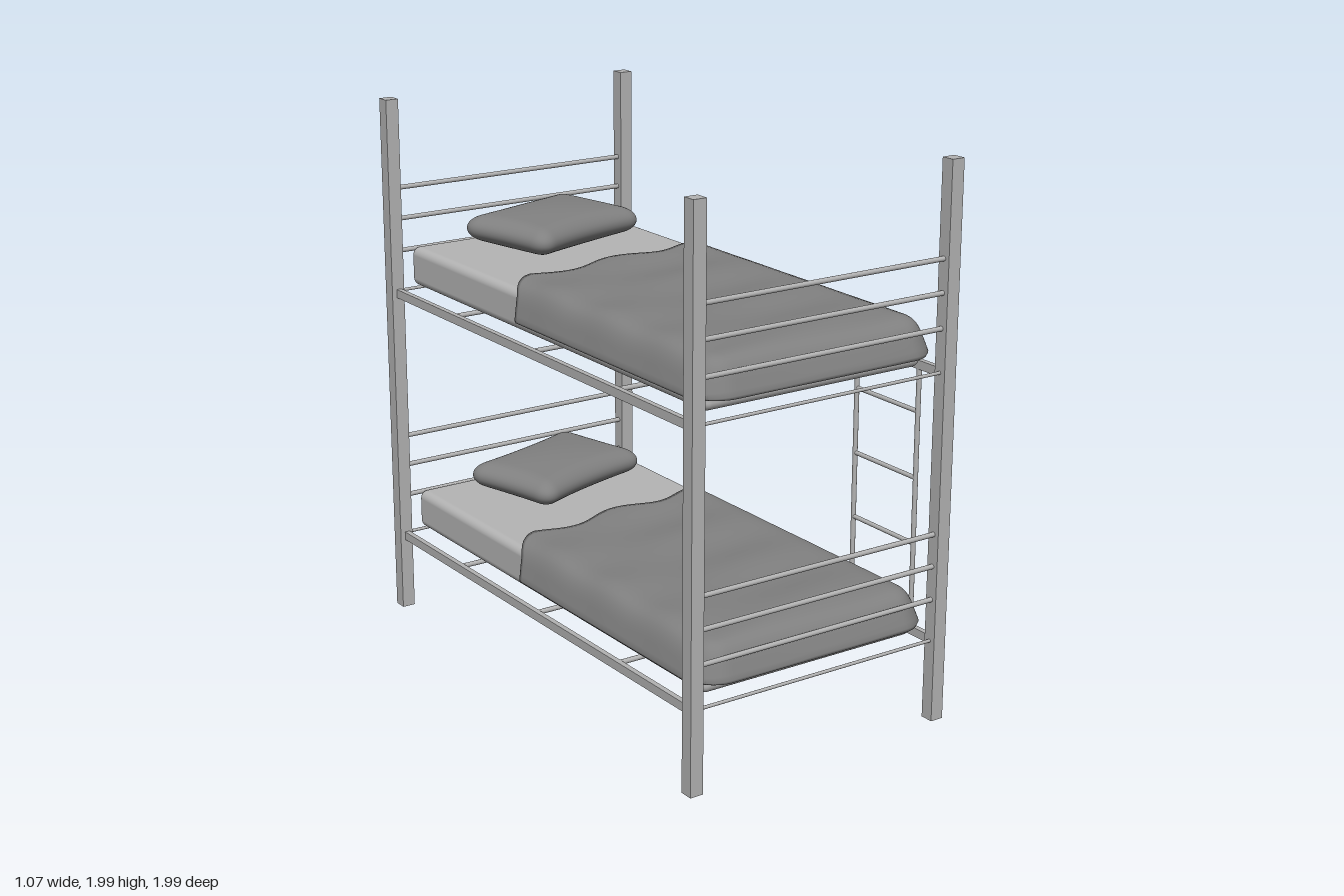
import * as THREE from 'three';
import { mergeVertices } from 'three/addons/utils/BufferGeometryUtils.js';
import { RoundedBoxGeometry } from 'three/addons/geometries/RoundedBoxGeometry.js';

const frame = new THREE.MeshStandardMaterial({ color: 0xb2b2b2 });
const ticking = new THREE.MeshStandardMaterial({ color: 0xb5b5b5 });
const cloth = new THREE.MeshStandardMaterial({ color: 0x808080, side: THREE.DoubleSide });
const { clamp, lerp } = THREE.MathUtils;

function add(parent, name, geometry, x, y, z, material = frame) {
  const mesh = new THREE.Mesh(geometry, material);
  mesh.name = name;
  mesh.position.set(x, y, z);
  parent.add(mesh);
  return mesh;
}

// Round bar centred on a point, running along the given axis
function bar(parent, name, axis, length, radius, x, y, z) {
  const g = new THREE.CylinderGeometry(radius, radius, length, 12);
  if (axis === 'x') g.rotateZ(Math.PI / 2);
  if (axis === 'z') g.rotateX(Math.PI / 2);
  return add(parent, name, g, x, y, z);
}

// Blanket edge profile: [cloth distance past the flat top, outward, drop]
const drape = [[0, 0, 0], [0.03, 0.03, 0.002], [0.06, 0.058, 0.009], [0.09, 0.081, 0.024],
  [0.125, 0.1, 0.053], [0.165, 0.115, 0.09], [0.205, 0.13, 0.128], [0.215, 0.125, 0.132], [0.25, 0.09, 0.128]];
const reach = 0.25;

function drapeAt(r) {
  let i = 1;
  while (i < drape.length - 1 && r > drape[i][0]) i++;
  const a = drape[i - 1], b = drape[i], t = clamp((r - a[0]) / (b[0] - a[0]), 0, 1);
  return [lerp(a[1], b[1], t), lerp(a[2], b[2], t)];
}

// Sheet lying on the mattress, hanging over both sides and the foot, wavy at the head
function blanketGeometry() {
  const coreX = 0.36, coreZ = 0.86;
  const g = new THREE.PlaneGeometry(2, 2, 72, 80).rotateX(-Math.PI / 2);
  const p = g.attributes.position;
  for (let i = 0; i < p.count; i++) {
    const u = p.getX(i), v = (p.getZ(i) + 1) / 2;
    const x = u * (coreX + reach);
    const dx = Math.max(Math.abs(x) - coreX, 0);
    const xc = clamp(x, -0.48, 0.48);
    const head = -0.26 - 0.07 * xc - 0.025 * Math.cos(xc * 16.5) + 0.08 * Math.min(dx / 0.2, 1);
    const z = lerp(head, coreZ + reach, Math.max(0, (v - 1 / 80) / (1 - 1 / 80)));
    const dz = Math.max(z - coreZ, 0);
    const r = Math.max(dx, dz), h = Math.hypot(dx, dz) || 1;
    let [out, drop] = drapeAt(r);
    const flat = 1 - Math.min(r / 0.2, 1);
    const bump = 0.007 * Math.cos((z - 0.1) * 18 + x * 3) * Math.cos(x * 5 - 0.6) + 0.003;
    // first row tucks down to the mattress to give the edge thickness
    if (v < 1e-6) { out *= 0.88; drop += 0.034 * flat; }
    p.setXYZ(i,
      clamp(x, -coreX, coreX) + Math.sign(x) * out * dx / h,
      0.217 - drop + bump * flat,
      Math.min(z, coreZ) + out * dz / h);
  }
  g.computeVertexNormals();
  return g;
}

// Soft block with rounded corners, pinched sides and a puffed middle
function pillowGeometry() {
  const hx = 0.305, hy = 0.075, hz = 0.207, round = 0.073;
  let g = new THREE.BoxGeometry(2 * hx, 2 * hy, 2 * hz, 40, 12, 30);
  g.deleteAttribute('normal');
  g.deleteAttribute('uv');
  g = mergeVertices(g);
  const p = g.attributes.position, v = new THREE.Vector3(), c = new THREE.Vector3();
  for (let i = 0; i < p.count; i++) {
    v.fromBufferAttribute(p, i);
    c.set(clamp(v.x, round - hx, hx - round), clamp(v.y, round - hy, hy - round), clamp(v.z, round - hz, hz - round));
    v.sub(c).setLength(round).add(c);
    const a = clamp(v.x / hx, -1, 1), b = clamp(v.z / hz, -1, 1);
    const puff = 0.27 * (1 - a * a) * (1 - b * b);
    p.setXYZ(i, v.x * (1 - 0.05 * (1 - b * b)), v.y * (0.62 + puff), v.z * (1 - 0.13 * (1 - a * a)));
  }
  g.computeVertexNormals();
  return g;
}

// One bunk; y = 0 is the underside of its side rails
function makeBunk(name) {
  const bunk = new THREE.Group();
  bunk.name = name;
  for (const s of [-1, 1]) {
    add(bunk, 'sideRail', new THREE.BoxGeometry(0.02, 0.032, 1.9), s * 0.508, 0.016, 0);
    bar(bunk, 'endRail', 'x', 0.98, 0.006, 0, 0.02, s * 0.97);
    for (const y of [0.173, 0.295, 0.412]) bar(bunk, 'guardRail', 'x', 0.98, 0.009, 0, y, s * 0.97);
  }
  for (const z of [-0.535, 0, 0.525]) bar(bunk, 'slat', 'x', 1.01, 0.009, 0, 0.022, z);
  add(bunk, 'mattress', new RoundedBoxGeometry(0.89, 0.147, 1.895, 4, 0.03), 0, 0.1105, -0.0175, ticking);
  add(bunk, 'blanket', blanketGeometry(), 0, 0, 0, cloth);
  const pillow = add(bunk, 'pillow', pillowGeometry(), 0.02, 0.26, -0.703, cloth);
  pillow.rotation.set(0.05, 0.345, -0.035);
  return bunk;
}

export function createModel() {
  const bed = new THREE.Group();
  bed.name = 'bunkBed';

  // Corner posts
  for (const x of [-0.512, 0.512])
    for (const z of [-0.97, 0.97])
      add(bed, 'post', new THREE.BoxGeometry(0.05, 1.99, 0.05), x, 0.995, z);

  // Two identical bunks
  for (const [name, y] of [['lowerBunk', 0.276], ['upperBunk', 1.243]]) {
    const bunk = makeBunk(name);
    bunk.position.y = y;
    bed.add(bunk);
  }

  // Ladder on the model's left side
  const ladder = new THREE.Group();
  ladder.name = 'ladder';
  for (const z of [0.515, 0.843]) bar(ladder, 'ladderStile', 'y', 0.945, 0.009, 0.508, 0.777, z);
  for (const y of [0.61, 0.85, 1.09]) bar(ladder, 'ladderRung', 'z', 0.328, 0.008, 0.508, y, 0.679);
  bed.add(ladder);
  return bed;
}
